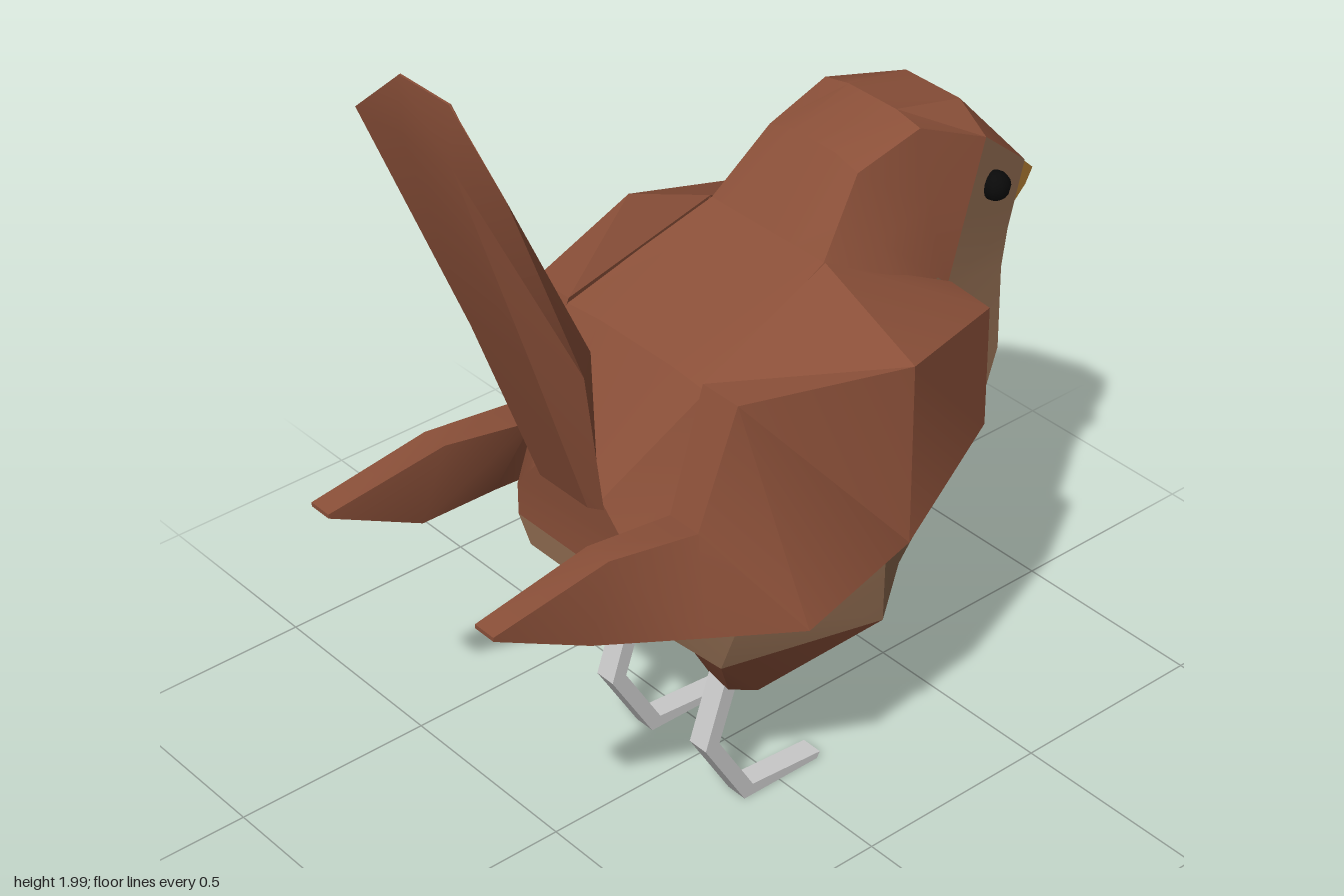
import * as THREE from 'three';
import { toCreasedNormals } from 'three/addons/utils/BufferGeometryUtils.js';

const mat = (color) => new THREE.MeshStandardMaterial({ color });
const brown = mat(0x8b5039), tan = mat(0x8f6b50), horn = mat(0xe3a044);
const black = mat(0x0a0a0a), grey = mat(0xcccccc);

const flip = ([x, y, z]) => [x, y, -z];
const middle = (a, b) => a.map((v, i) => (v + b[i]) / 2);

// Half-loop plus its mirror image as one closed loop
const both = (half) => [...half, ...half.map(flip).reverse()];

// Mesh from faces given as corner loops; fixWinding turns a closed solid outward
function faceMesh(name, faces, material, fixWinding = false) {
  const tris = [];
  let volume = 0;
  for (const f of faces) {
    const p = f.map((c) => new THREE.Vector3(...c));
    for (let i = 1; i < p.length - 1; i++) {
      const t = new THREE.Triangle(p[0], p[i], p[i + 1]);
      if (t.getArea() < 1e-7) continue;
      tris.push([t.a, t.b, t.c]);
      volume += t.a.dot(new THREE.Vector3().crossVectors(t.b, t.c));
    }
  }
  if (fixWinding && volume < 0) tris.forEach((t) => t.reverse());
  const geo = new THREE.BufferGeometry().setFromPoints(tris.flat());
  const mesh = new THREE.Mesh(toCreasedNormals(geo, 0.45), material);
  mesh.name = name;
  return mesh;
}

// Closed solid through a series of cross-section loops
function loft(name, rings, material) {
  const faces = [[...rings[0]].reverse(), rings[rings.length - 1]];
  for (let i = 0; i < rings.length - 1; i++) {
    const a = rings[i], b = rings[i + 1], n = a.length;
    for (let j = 0; j < n; j++) {
      const k = (j + 1) % n;
      faces.push([a[j], a[k], b[k], b[j]]);
    }
  }
  return faceMesh(name, faces, material, true);
}

// Half section of the body, crown to belly; the ridge rises above the shoulder
function section(rise, shoulder, side, flank, belly) {
  const [x, y, z] = shoulder;
  return [
    [x, y + rise, 0], [x, y + rise, z / 2], shoulder, middle(shoulder, side),
    side, flank, belly, [belly[0], belly[1], 0],
  ];
}

function createBody() {
  // Rump to face
  const rings = [
    section(.01, [-.43, .94, .1], [-.42, .82, .2], [-.42, .74, .2], [-.42, .68, .16]),
    section(.01, [-.25, 1.2, .23], [-.25, .85, .35], [-.25, .72, .36], [-.27, .53, .3]),
    section(0, [.12, 1.34, .18], [.12, .95, .4], [.12, .75, .395], [.12, .52, .39]),
    section(.02, [.25, 1.49, .14], [.28, 1.2, .26], [.33, .85, .32], [.29, .52, .26]),
    section(.015, [.42, 1.54, .15], [.42, 1.2, .22], [.45, .88, .24], [.41, .65, .25]),
    section(.06, [.6, 1.46, .17], [.45, 1.17, .22], [.52, .95, .22], [.55, .79, .23]),
    section(.005, [.77, 1.32, .125], [.7, 1.18, .15], [.67, 1.1, .165], [.635, .92, .2]),
  ];
  const last = rings.length - 1, rump = rings[0], face = rings[last];
  const upper = [], lower = [];
  for (let j = 0; j < 7; j++) {
    for (let i = 0; i < last; i++) {
      const a = rings[i], b = rings[i + 1];
      const quad = [a[j], a[j + 1], b[j + 1], b[j]];
      // Dark back and crown, pale cheeks, brow stripe and belly
      const dark = i === last - 1 ? j === 1 : j < 4 || (i === 0 && j === 4);
      (dark ? upper : lower).push(quad, quad.map(flip).reverse());
    }
    // Face and rump caps, with a dark throat band
    (j < 5 ? upper : lower).push(
      [face[j], face[j + 1], flip(face[j + 1]), flip(face[j])],
      [rump[j], flip(rump[j]), flip(rump[j + 1]), rump[j + 1]],
    );
  }
  const body = new THREE.Group();
  body.name = 'body';
  body.add(faceMesh('backAndCrown', upper, brown), faceMesh('bellyAndCheeks', lower, tan));
  return body;
}

// Four-cornered wing section: top and bottom points, their outer z, width, inner rise
const wingRing = ([tx, ty], [bx, by], zTop, zBottom, width, rise = 0) => [
  [tx, ty + rise, zTop - width], [tx, ty, zTop],
  [bx, by, zBottom], [bx, by, zBottom - width],
];
const wing = [
  wingRing([-.88, .925], [-.88, .915], .31, .31, .06),
  wingRing([-.58, .97], [-.64, .79], .31, .32, .07),
  wingRing([-.35, .935], [-.4, .735], .32, .4, .09),
  wingRing([-.25, 1.215], [-.17, .68], .33, .47, .11),
  wingRing([.12, 1.22], [.12, .77], .465, .465, .28, .122),
  wingRing([.43, 1.19], [.43, .89], .37, .37, .12, .01),
];

const thigh = [
  [[-.27, .53, .3], [.12, .52, .39], [.29, .52, .25], [.12, .52, .18], [-.26, .53, .16]],
  [[-.18, .38, .22], [-.12, .365, .25], [0, .38, .22], [0, .375, .14], [-.15, .355, .12]],
];

// Leg from hip over the backward joint and ankle to the toe
const bar = (x1, y1, x2, y2) =>
  [[x1, y1, .135], [x2, y2, .135], [x2, y2, .19], [x1, y1, .19]];
const leg = [
  bar(-.16, .38, -.12, .38), bar(-.22, .205, -.18, .21),
  bar(-.105, .01, -.08, .04), bar(.115, .01, .125, .025),
];

// Raised tail: front, edge and back points of each half section
const tail = [
  [[-.42, .92, .08], [-.43, .92, .11], [-.45, .92, .08]],
  [[-.44, 1.31, .09], [-.53, 1.33, .18], [-.6, 1.35, .1]],
  [[-.695, 1.86, .08], [-.755, 1.86, .24], [-.76, 1.86, .08]],
  [[-.755, 2, .08], [-.757, 2, .08], [-.76, 2, .08]],
].map(both);

const beak = [
  [[.768, 1.318, .125], [.71, 1.2, .13]],
  [[.885, 1.22, .04], [.875, 1.175, .03]],
].map(both);

export function createModel() {
  const bird = new THREE.Group();
  bird.name = 'bird';
  bird.add(createBody(), loft('tail', tail, brown), loft('beak', beak, horn));

  // Paired parts; the bird looks along +x, so its right side is +z
  for (const [side, s] of [['PlusZ', 1], ['MinusZ', -1]]) {
    const place = (rings) => rings.map((r) => r.map(([x, y, z]) => [x, y, z * s]));
    bird.add(
      loft('wing' + side, place(wing), brown),
      loft('thigh' + side, place(thigh), brown),
      loft('leg' + side, place(leg), grey),
    );
    const eye = new THREE.Mesh(new THREE.SphereGeometry(.035, 10, 8), black);
    eye.name = 'eye' + side;
    eye.position.set(.63, 1.33, .175 * s);
    bird.add(eye);
  }
  return bird;
}
